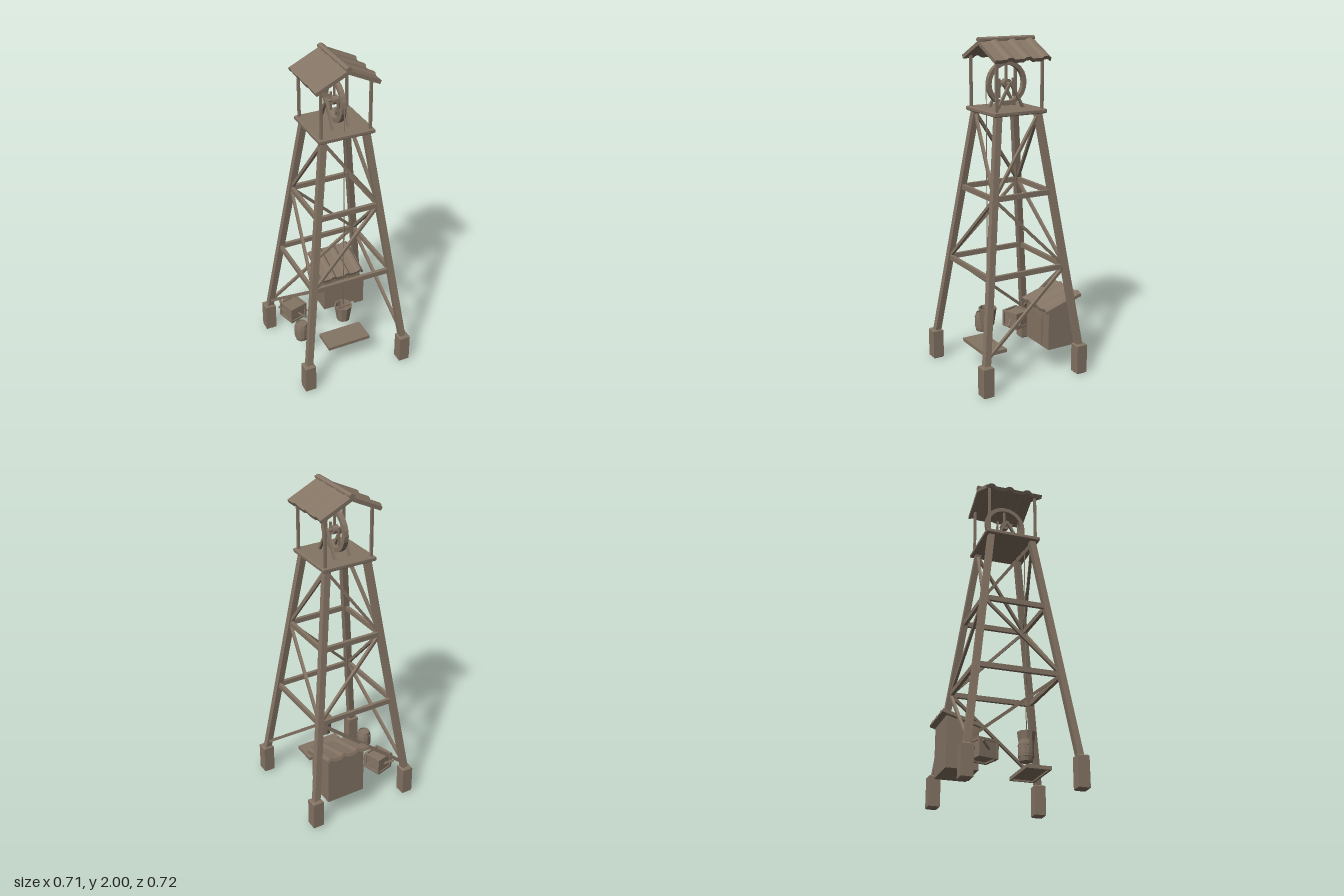
import * as THREE from 'three';

const wood = new THREE.MeshStandardMaterial({ color: 0x857565, flatShading: true });
wood.name = 'weatheredWood';
const V = (x, y, z) => new THREE.Vector3(x, y, z);

function add(parent, name, geo, x = 0, y = 0, z = 0) {
  const m = new THREE.Mesh(geo, wood);
  m.name = name;
  m.position.set(x, y, z);
  parent.add(m);
  return m;
}
const box = (p, name, w, h, d, x, y, z) => add(p, name, new THREE.BoxGeometry(w, h, d), x, y, z);

// Square bar between two points
function bar(parent, name, a, b, w, h = w) {
  const m = box(parent, name, w, h, a.distanceTo(b), 0, 0, 0);
  m.position.copy(a).lerp(b, 0.5);
  m.lookAt(b);
  return m;
}

// Extrude a [z, y] outline along x, from x0 to x1
function extrudeX(pts, x0, x1) {
  const shape = new THREE.Shape(pts.map(p => new THREE.Vector2(...p)));
  return new THREE.ExtrudeGeometry(shape, { depth: x1 - x0, bevelEnabled: false })
    .rotateY(-Math.PI / 2).translate(x1, 0, 0);
}

// Upright slab with bevelled edges, standing on y = 0
function bevelSlab(w, h, d, b) {
  const x = w / 2 - b, z = d / 2 - b;
  const s = new THREE.Shape([[-x, -z], [x, -z], [x, z], [-x, z]].map(p => new THREE.Vector2(...p)));
  return new THREE.ExtrudeGeometry(s, { depth: h - 2 * b, bevelThickness: b, bevelSize: b, bevelSegments: 1 })
    .rotateX(-Math.PI / 2).translate(0, b, 0);
}

// Ribbed sheet cross-section: top line with trapezoid ribs, same line below
function ribbed(u0, u1, centres, half, rise, thick) {
  const top = [[u0, 0]];
  for (const c of centres) {
    top.push([c - half, 0], [c - half * 0.4, rise], [c + half * 0.4, rise], [c + half, 0]);
  }
  top.push([u1, 0]);
  const bottom = top.map(([u, h]) => [u, h - thick]);
  return [...bottom, ...top.reverse()];
}

// Half-width of the tapering tower at a height
const legX = y => 0.32 - (y - 0.15) * 0.19 / 1.43;

function buildTower(g) {
  for (const sx of [-1, 1]) for (const sz of [-1, 1]) {
    add(g, 'foot', bevelSlab(0.068, 0.187, 0.068, 0.007), sx * 0.321, 0, sz * 0.321);
    // Leaning leg, sheared so its faces stay square to the tower
    const y0 = 0.15, y1 = 1.58, leg = new THREE.BoxGeometry(0.038, 1, 0.038);
    const p = leg.attributes.position;
    for (let i = 0; i < p.count; i++) {
      const y = p.getY(i) < 0 ? y0 : y1;
      p.setXYZ(i, p.getX(i) + sx * legX(y), y, p.getZ(i) + sz * legX(y));
    }
    leg.computeVertexNormals();
    add(g, 'leg', leg);
    box(g, 'roofPost', 0.015, 0.31, 0.015, sx * 0.148, 1.745, sz * 0.148);
  }
  // Horizontal girts and zigzag braces on the four faces
  const corners = [[-1, 1], [1, 1], [1, -1], [-1, -1]];
  const at = (c, y) => V(c[0] * legX(y), y, c[1] * legX(y));
  const levels = [0.215, 0.67, 1.115, 1.565];
  corners.forEach((a, i) => {
    const b = corners[(i + 1) % 4];
    for (const y of [0.67, 1.115]) bar(g, 'girt', at(a, y), at(b, y), 0.02, 0.03);
    for (let k = 0; k < 3; k++) {
      if (i === 0 && k === 0) continue; // front bay is left open
      const lowAtA = (i + k) % 2 === 1;
      bar(g, 'brace', at(lowAtA ? a : b, levels[k]), at(lowAtA ? b : a, levels[k + 1]), 0.017);
    }
  });
  add(g, 'platform', bevelSlab(0.34, 0.026, 0.34, 0.005), 0, 1.572, 0);
}

function buildRoof(g) {
  const pts = ribbed(-0.18, 0.18, [-0.145, -0.03, 0.085], 0.028, 0.012, 0.022);
  const slope = 0.45, len = 0.215;
  for (const s of [-1, 1]) {
    const geo = s > 0 ? extrudeX(pts, 0, len) : extrudeX(pts, -len, 0);
    add(g, 'roofPanel', geo.rotateZ(-s * slope), 0, 1.981, 0);
  }
  add(g, 'ridgeCap', new THREE.ExtrudeGeometry(
    new THREE.Shape([[-0.018, -0.004], [0, -0.012], [0.018, -0.004], [0.018, 0.008], [0, 0.016], [-0.018, 0.008]]
      .map(p => new THREE.Vector2(...p))),
    { depth: 0.364, bevelEnabled: false }), 0, 1.984, -0.182);
}

function buildWheel(g) {
  const cy = 1.736, wheel = new THREE.Group();
  wheel.name = 'pulleyWheel';
  wheel.position.y = cy;
  g.add(wheel);
  const ring = [[0.103, -0.014], [0.128, -0.014], [0.128, 0.014], [0.103, 0.014], [0.103, -0.014]]
    .map(p => new THREE.Vector2(...p));
  add(wheel, 'rim', new THREE.LatheGeometry(ring, 24).rotateZ(Math.PI / 2));
  add(wheel, 'hub', new THREE.CylinderGeometry(0.026, 0.026, 0.036, 12).rotateZ(Math.PI / 2));
  add(wheel, 'axle', new THREE.CylinderGeometry(0.009, 0.009, 0.11, 8).rotateZ(Math.PI / 2));
  for (let i = 0; i < 3; i++) {
    const a = i * Math.PI * 2 / 3;
    bar(wheel, 'spoke', V(0, 0, 0), V(0, Math.cos(a) * 0.108, Math.sin(a) * 0.108), 0.012);
  }
  // A-frame stands on both sides
  for (const sx of [-1, 1]) for (const sz of [-1, 1]) {
    bar(g, 'wheelStand', V(sx * 0.048, cy + 0.008, 0), V(sx * 0.048, 1.595, sz * 0.085), 0.015);
  }
  add(g, 'rope', new THREE.CylinderGeometry(0.003, 0.003, 1.37, 6), 0, 1.05, 0.131);
}

function buildShed(g) {
  const shed = new THREE.Group();
  shed.name = 'shed';
  g.add(shed);
  add(shed, 'shedWalls', extrudeX([[-0.15, 0.15], [-0.15, 0.395], [-0.338, 0.45], [-0.338, 0.15]], 0, 0.245));
  box(shed, 'shedDoor', 0.11, 0.2, 0.006, 0.12, 0.255, -0.148);
  const pts = ribbed(-0.02, 0.265, [0.055, 0.15, 0.238], 0.022, 0.012, 0.02);
  const s = new THREE.Shape(pts.map(p => new THREE.Vector2(...p)));
  add(shed, 'shedRoof', new THREE.ExtrudeGeometry(s, { depth: 0.252, bevelEnabled: false })
    .translate(0, 0, -0.252).rotateX(0.295), 0.0, 0.407, -0.122);
}

function buildProps(g) {
  // Hanging bucket with an arched handle
  const cup = [[0, 0], [0.04, 0], [0.055, 0.105], [0.047, 0.105], [0.034, 0.012], [0, 0.012]]
    .map(p => new THREE.Vector2(...p));
  add(g, 'bucket', new THREE.LatheGeometry(cup, 10), 0, 0.292, 0.131);
  bar(g, 'bucketHandle', V(-0.05, 0.387, 0.131), V(0.05, 0.387, 0.131), 0.008);

  // Barrel with hoops
  const stave = [[0, 0], [0.036, 0], [0.044, 0.04], [0.044, 0.08], [0.036, 0.12], [0.031, 0.12], [0.031, 0.113], [0, 0.113]]
    .map(p => new THREE.Vector2(...p));
  add(g, 'barrel', new THREE.LatheGeometry(stave, 12), -0.243, 0.146, 0.037);
  for (const y of [0.176, 0.236]) {
    add(g, 'barrelHoop', new THREE.CylinderGeometry(0.0445, 0.0445, 0.01, 12), -0.243, y, 0.037);
  }

  // Crate with edge battens and diagonal slats
  const crate = new THREE.Group();
  crate.name = 'crate';
  crate.position.set(-0.203, 0.197, -0.192);
  crate.rotation.y = 0.27;
  g.add(crate);
  const h = 0.054, t = 0.014;
  box(crate, 'crateBody', 0.108, 0.09, 0.108, 0, 0, 0);
  for (const a of [-1, 1]) for (const b of [-1, 1]) {
    box(crate, 'crateBatten', 0.122, t, t, 0, a * 0.046, b * h);
    box(crate, 'crateBatten', t, t, 0.122, a * h, b * 0.046, 0);
    box(crate, 'crateBatten', t, 0.106, t, a * h, 0, b * h);
  }
  for (const s of [-1, 1]) {
    bar(crate, 'crateSlat', V(-0.048, -0.04, s * h), V(0.048, 0.04, s * h), 0.008, 0.012);
    bar(crate, 'crateSlat', V(s * h, -0.04, -0.048), V(s * h, 0.04, 0.048), 0.008, 0.012);
  }

  // Hatch lid with a framed underside
  box(g, 'hatch', 0.28, 0.012, 0.148, 0, 0.164, 0.151);
  for (const s of [-1, 1]) {
    box(g, 'hatchFrame', 0.28, 0.01, 0.012, 0, 0.154, 0.151 + s * 0.068);
    box(g, 'hatchFrame', 0.012, 0.01, 0.124, s * 0.134, 0.154, 0.151);
  }
}

export function createModel() {
  const g = new THREE.Group();
  g.name = 'mineTower';
  buildTower(g);
  buildRoof(g);
  buildWheel(g);
  buildShed(g);
  buildProps(g);
  return g;
}
